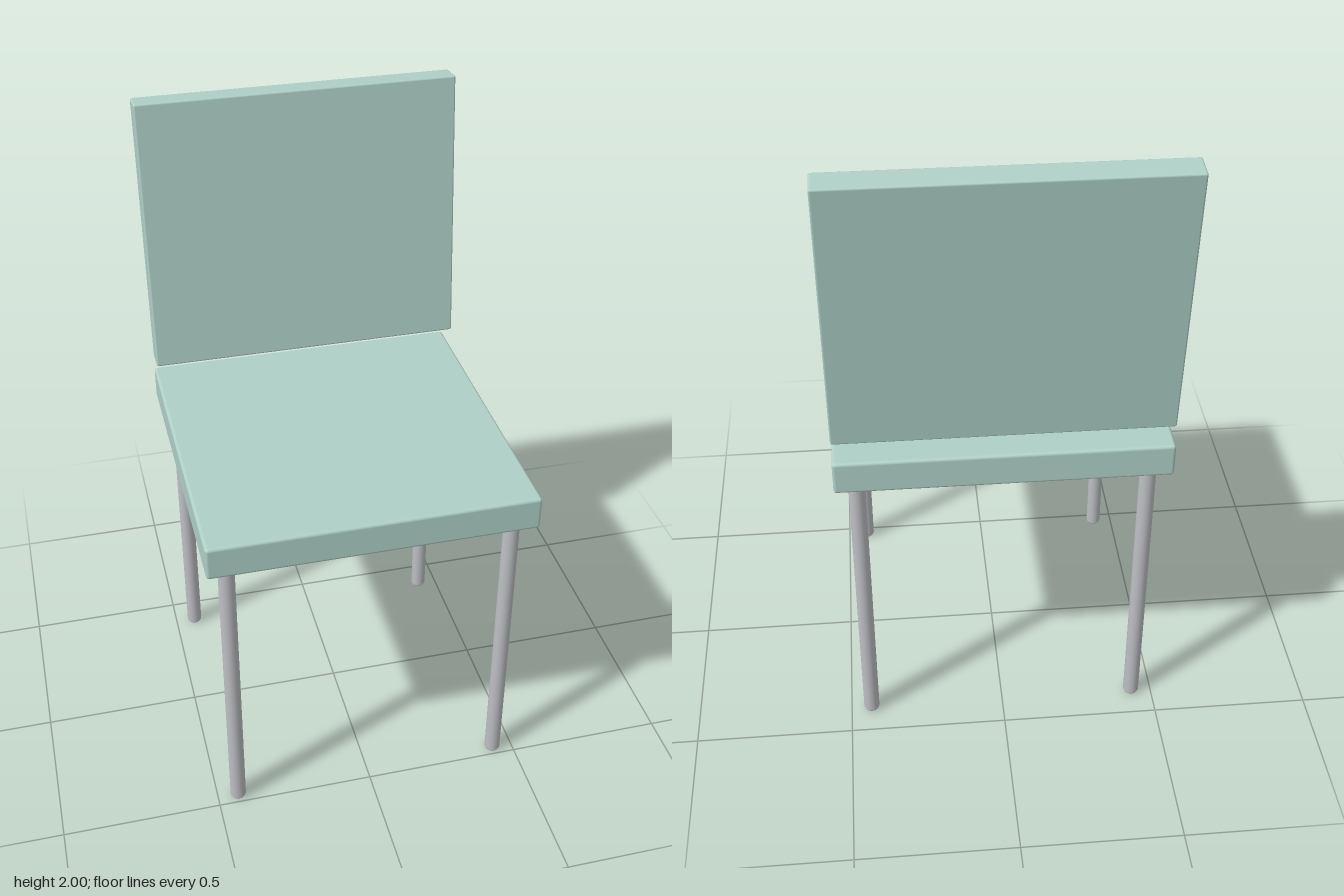
import * as THREE from 'three';
import { RoundedBoxGeometry } from 'three/addons/geometries/RoundedBoxGeometry.js';

export function createModel() {
  const chair = new THREE.Group();
  chair.name = 'chair';

  const mint = new THREE.MeshStandardMaterial({ color: 0xaed0c7 });
  mint.name = 'mint upholstery';
  const steel = new THREE.MeshStandardMaterial({ color: 0xbcbec2 });
  steel.name = 'grey metal';

  const add = (name, geometry, material, x, y, z) => {
    const mesh = new THREE.Mesh(geometry, material);
    mesh.name = name;
    mesh.position.set(x, y, z);
    chair.add(mesh);
    return mesh;
  };

  // Seat cushion with softened edges
  add('seat', new RoundedBoxGeometry(1, 0.108, 0.995, 3, 0.01), mint, 0, 1.025, 0.033);

  // Floating backrest, leaning back
  const back = add('backrest', new RoundedBoxGeometry(1, 0.862, 0.083, 3, 0.006), mint, 0, 1.567, -0.445);
  back.rotation.x = -0.1;

  // Round legs with a slightly rounded foot
  const profile = [
    [0, 0], [0.017, 0], [0.022, 0.003], [0.025, 0.009], [0.025, 0.975], [0, 0.975],
  ].map(([r, y]) => new THREE.Vector2(r, y));
  const legGeometry = new THREE.LatheGeometry(profile, 24);
  for (const [side, x] of [['Left', 0.434], ['Right', -0.434]]) {
    add('front' + side + 'Leg', legGeometry, steel, x, 0, 0.468);
    add('back' + side + 'Leg', legGeometry, steel, x, 0, -0.402);
  }

  return chair;
}
